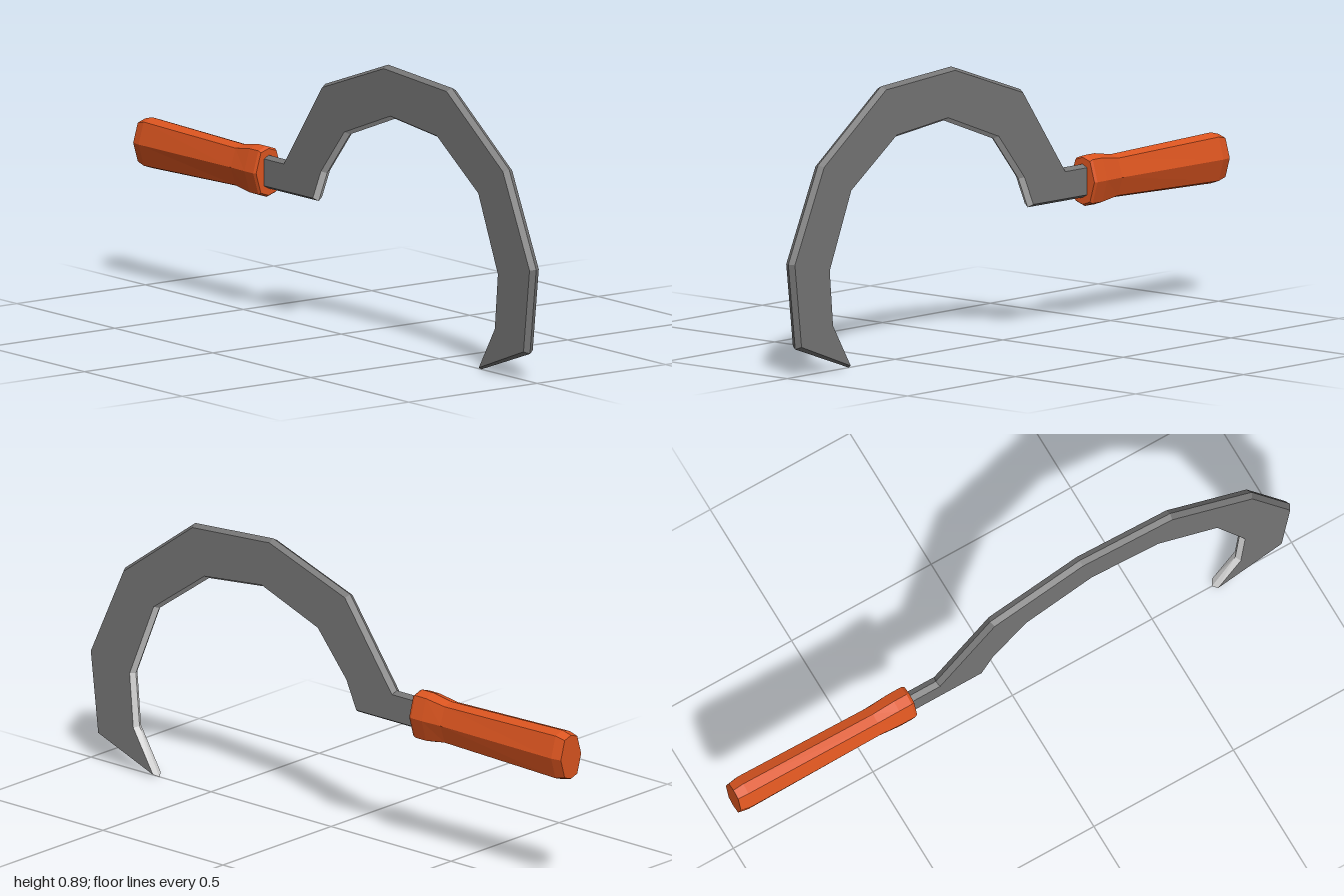
import * as THREE from 'three';

const steel = new THREE.MeshStandardMaterial({ name: 'steel', color: 0x777777, flatShading: true });
const honed = new THREE.MeshStandardMaterial({ name: 'honedEdge', color: 0xd4d4d4, flatShading: true });
const wood = new THREE.MeshStandardMaterial({ name: 'orangeWood', color: 0xdc5520, flatShading: true });
[steel, honed, wood].forEach((m) => { m.flatShading = false; });

const HALF = 0.018; // half thickness of the blade
const BEVEL = 0.01; // how far the rim ridge stands out past the flat faces

function meshFrom(name, positions, material) {
  const g = new THREE.BufferGeometry();
  g.setAttribute('position', new THREE.Float32BufferAttribute(positions, 3));
  g.computeVertexNormals(); // unshared corners give faceted normals
  const mesh = new THREE.Mesh(g, material);
  mesh.name = name;
  return mesh;
}

// Adds a triangle and its mirror image on the back
function pushBoth(list, a, b, c) {
  list.push(...a, ...b, ...c);
  for (const p of [a, c, b]) list.push(p[0], p[1], -p[2]);
}

// Moves a clockwise outline inwards
function inset(points, d) {
  const n = points.length;
  const normal = (a, b) => new THREE.Vector2(b.y - a.y, a.x - b.x).normalize();
  return points.map((p, i) => {
    const n1 = normal(points[(i + n - 1) % n], p);
    const n2 = normal(p, points[(i + 1) % n]);
    const scale = d / Math.max(0.5, 1 + n1.dot(n2));
    return p.clone().addScaledVector(n1.add(n2), scale);
  });
}

function createBlade() {
  const blade = new THREE.Group();
  blade.name = 'blade';
  const back = [[-0.4, 0.51], [-0.275, 0.51], [-0.08, 0.78], [0.24, 0.89], [0.565, 0.867],
    [0.857, 0.655], [0.995, 0.36], [0.963, 0.09]];
  const cutting = [[0.715, 0.003], [0.798, 0.15], [0.813, 0.32], [0.715, 0.555], [0.508, 0.7],
    [0.275, 0.725], [0.045, 0.64], [-0.072, 0.5], [-0.115, 0.405]];
  const rim = [...back, ...cutting, [-0.4, 0.405]].map(([x, y]) => new THREE.Vector2(x, y));
  const flat = inset(rim, BEVEL);

  // Flat sides
  const body = [];
  const face = new THREE.ShapeGeometry(new THREE.Shape(flat)).toNonIndexed().attributes.position;
  const corner = (i) => [face.getX(i), face.getY(i), HALF];
  for (let i = 0; i < face.count; i += 3) pushBoth(body, corner(i), corner(i + 1), corner(i + 2));

  // Bevels: the inner curve is the honed cutting edge
  const edge = [];
  rim.forEach((r, i) => {
    const j = (i + 1) % rim.length;
    const sharp = i >= back.length && i < back.length + cutting.length - 1;
    const list = sharp ? edge : body;
    const f1 = [flat[i].x, flat[i].y, HALF], f2 = [flat[j].x, flat[j].y, HALF];
    const r1 = [r.x, r.y, 0], r2 = [rim[j].x, rim[j].y, 0];
    pushBoth(list, f1, f2, r2);
    pushBoth(list, f1, r2, r1);
  });
  blade.add(meshFrom('bladeBody', body, steel), meshFrom('cuttingEdge', edge, honed));
  return blade;
}

function createHandle() {
  // Eight-sided section, taller than wide, as [y, z] fractions
  const section = [[1, 0], [0.86, 0.62], [0, 1], [-0.86, 0.62], [-1, 0], [-0.86, -0.62], [0, -1], [0.86, -0.62]];
  // Stations: x, half height, half width
  const stations = [[-1, 0.071, 0.047], [-0.965, 0.08, 0.053], [-0.5, 0.068, 0.049],
    [-0.425, 0.08, 0.053], [-0.38, 0.08, 0.053], [-0.37, 0.074, 0.049]];
  const rings = stations.map(([x, h, w]) => section.map(([y, z]) => [x, 0.457 + y * h, z * w]));
  const out = [];
  const n = section.length;
  const last = rings.length - 1;
  for (let k = 0; k < n; k++) {
    const m = (k + 1) % n;
    for (let s = 0; s < last; s++) {
      const a = rings[s][k], b = rings[s + 1][k], c = rings[s + 1][m], d = rings[s][m];
      out.push(...a, ...d, ...c, ...a, ...c, ...b);
    }
    // End caps
    out.push(stations[0][0], 0.457, 0, ...rings[0][m], ...rings[0][k]);
    out.push(stations[last][0], 0.457, 0, ...rings[last][k], ...rings[last][m]);
  }
  return meshFrom('handle', out, wood);
}

export function createModel() {
  const sickle = new THREE.Group();
  sickle.name = 'sickle';
  sickle.add(createHandle(), createBlade());
  return sickle;
}
